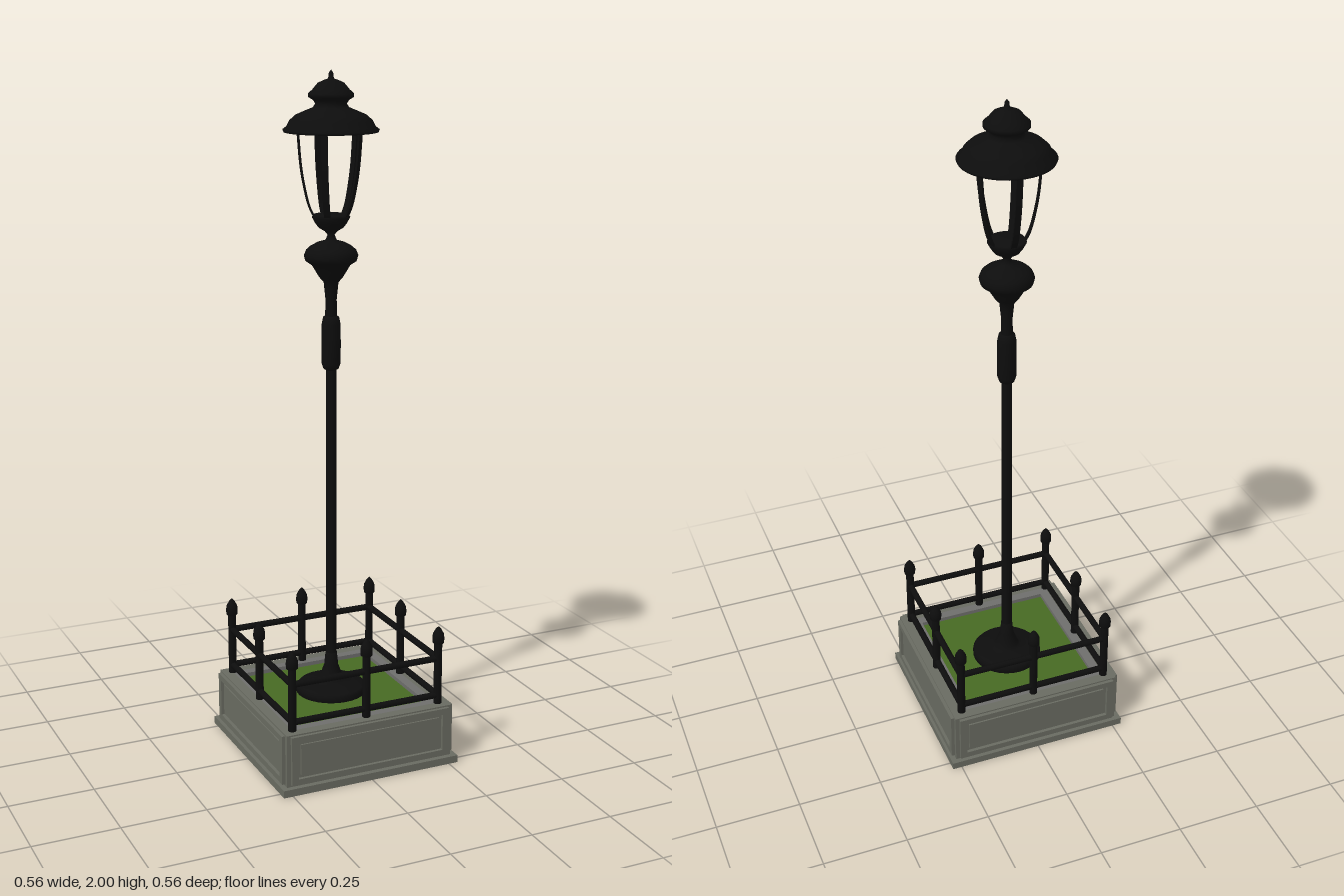
import * as THREE from 'three';

const material = (name, color) => {
  const m = new THREE.MeshStandardMaterial({ color });
  m.name = name;
  return m;
};

export function createModel() {
  const iron = material('black iron', 0x0d0d0d);
  const stone = material('stone', 0x696b61);
  const curbStone = material('curb stone', 0x6e6e6c);
  const grass = material('grass', 0x476a23);
  const soleIron = iron.clone();
  soleIron.name = 'thin iron';
  soleIron.side = THREE.DoubleSide;

  const model = new THREE.Group();
  model.name = 'streetLamp';
  const add = (parent, name, geometry, mat, x = 0, y = 0, z = 0) => {
    const mesh = new THREE.Mesh(geometry, mat);
    mesh.name = name;
    mesh.position.set(x, y, z);
    parent.add(mesh);
    return mesh;
  };
  // Rectangle with a rectangular hole, extruded along +z
  const frame = (w, h, iw, ih, depth) => {
    const rect = (P, a, b) => {
      const p = new P();
      p.moveTo(-a, -b);
      p.lineTo(a, -b);
      p.lineTo(a, b);
      p.lineTo(-a, b);
      p.closePath();
      return p;
    };
    const shape = rect(THREE.Shape, w, h);
    shape.holes.push(rect(THREE.Path, iw, ih));
    return new THREE.ExtrudeGeometry(shape, { depth, bevelEnabled: false });
  };
  const lathe = (pts, segments = 32) =>
    new THREE.LatheGeometry(pts.map(([r, y]) => new THREE.Vector2(r, y)), segments);

  // Plinth
  const plinth = new THREE.Group();
  plinth.name = 'plinth';
  model.add(plinth);
  add(plinth, 'footing', new THREE.BoxGeometry(0.556, 0.022, 0.556), stone, 0, 0.011, 0);
  add(plinth, 'core', new THREE.BoxGeometry(0.524, 0.14, 0.524), stone, 0, 0.092, 0);
  const topRing = add(plinth, 'topRing', frame(0.262, 0.262, 0.232, 0.232, 0.018), stone, 0, 0.162, 0);
  topRing.rotation.x = -Math.PI / 2;
  const curb = add(plinth, 'curb', frame(0.232, 0.232, 0.205, 0.205, 0.018), curbStone, 0, 0.162, 0);
  curb.rotation.x = -Math.PI / 2;
  add(plinth, 'lawn', new THREE.BoxGeometry(0.41, 0.006, 0.41), grass, 0, 0.165, 0);

  // Raised border and inner panel on each face
  for (let i = 0; i < 4; i++) {
    const side = new THREE.Group();
    side.name = 'plinthPanel';
    side.rotation.y = i * Math.PI / 2;
    add(side, 'panelBorder', frame(0.25, 0.074, 0.23, 0.056, 0.011), stone, 0, 0.102, 0.261);
    add(side, 'panel', new THREE.BoxGeometry(0.44, 0.092, 0.006), stone, 0, 0.102, 0.264);
    plinth.add(side);
  }

  // Fence
  const fence = new THREE.Group();
  fence.name = 'fence';
  model.add(fence);
  const F = 0.232, Z = -0.012;
  const postGeo = lathe([[0, 0.17], [0.012, 0.17], [0.012, 0.365], [0.017, 0.37], [0.018, 0.385],
    [0.016, 0.397], [0.008, 0.412], [0, 0.42]], 14);
  for (const [x, z] of [[-F, -F], [0, -F], [F, -F], [-F, Z], [F, Z], [-F, F], [0, F], [F, F]])
    add(fence, 'fencePost', postGeo, iron, x, 0, z);
  const railGeo = new THREE.CylinderGeometry(0.0095, 0.0095, 2 * F, 10);
  for (const y of [0.205, 0.32]) for (const s of [-1, 1]) {
    add(fence, 'fenceRail', railGeo, iron, 0, y, s * F).rotation.z = Math.PI / 2;
    add(fence, 'fenceRail', railGeo, iron, s * F, y, 0).rotation.x = Math.PI / 2;
  }

  // Lamp post
  const lamp = new THREE.Group();
  lamp.name = 'lamp';
  lamp.position.z = Z;
  model.add(lamp);
  add(lamp, 'postBase', lathe([[0, 0.16], [0.105, 0.16], [0.105, 0.182], [0.098, 0.19], [0.065, 0.197],
    [0.042, 0.202], [0.034, 0.212], [0.03, 0.225], [0.021, 0.25], [0.017, 0.29], [0, 0.29]]), iron);
  add(lamp, 'pole', new THREE.CylinderGeometry(0.0145, 0.0165, 1.2, 20), iron, 0, 0.8, 0);
  add(lamp, 'sleeve', lathe([[0.014, 1.155], [0.022, 1.16], [0.027, 1.175], [0.028, 1.23],
    [0.027, 1.29], [0.023, 1.31], [0.014, 1.315]], 20), iron);
  add(lamp, 'bulb', lathe([[0.017, 1.31], [0.016, 1.36], [0.019, 1.39], [0.021, 1.41], [0.034, 1.425],
    [0.046, 1.445], [0.055, 1.46], [0.073, 1.472], [0.077, 1.487], [0.071, 1.502], [0.06, 1.512],
    [0.04, 1.523], [0.016, 1.53], [0.01, 1.545], [0.018, 1.555]]), iron);

  // Lantern
  add(lamp, 'lanternCup', lathe([[0, 1.55], [0.018, 1.555], [0.036, 1.566], [0.046, 1.58],
    [0.054, 1.595], [0.05, 1.602], [0, 1.602]]), iron);
  add(lamp, 'lanternRoof', lathe([[0, 1.836], [0.105, 1.836], [0.132, 1.831], [0.135, 1.838], [0.124, 1.846],
    [0.116, 1.862], [0.1, 1.877], [0.072, 1.889], [0.05, 1.898], [0.044, 1.908], [0.05, 1.918],
    [0.063, 1.926], [0.063, 1.936], [0.052, 1.946], [0.037, 1.964], [0.02, 1.972], [0.008, 1.976],
    [0.006, 1.992], [0, 2]], 40), iron);

  // Five curved flat ribs, one of them at the back
  const ribPath = [[0.05, 1.595], [0.066, 1.63], [0.08, 1.69], [0.089, 1.75], [0.096, 1.84]];
  const ribShape = new THREE.Shape();
  ribShape.moveTo(...ribPath[0]);
  ribShape.splineThru(ribPath.slice(1).map(p => new THREE.Vector2(...p)));
  ribShape.lineTo(0.09, 1.84);
  ribShape.splineThru(ribPath.slice(0, -1).reverse().map(([r, y]) => new THREE.Vector2(r - 0.006, y)));
  const ribGeo = new THREE.ExtrudeGeometry(ribShape, { depth: 0.018, bevelEnabled: false, curveSegments: 12 });
  ribGeo.translate(0, 0, -0.009);
  for (let i = 0; i < 5; i++)
    add(lamp, 'lanternRib', ribGeo, soleIron).rotation.y = Math.PI / 2 + i * Math.PI * 2 / 5;

  return model;
}
